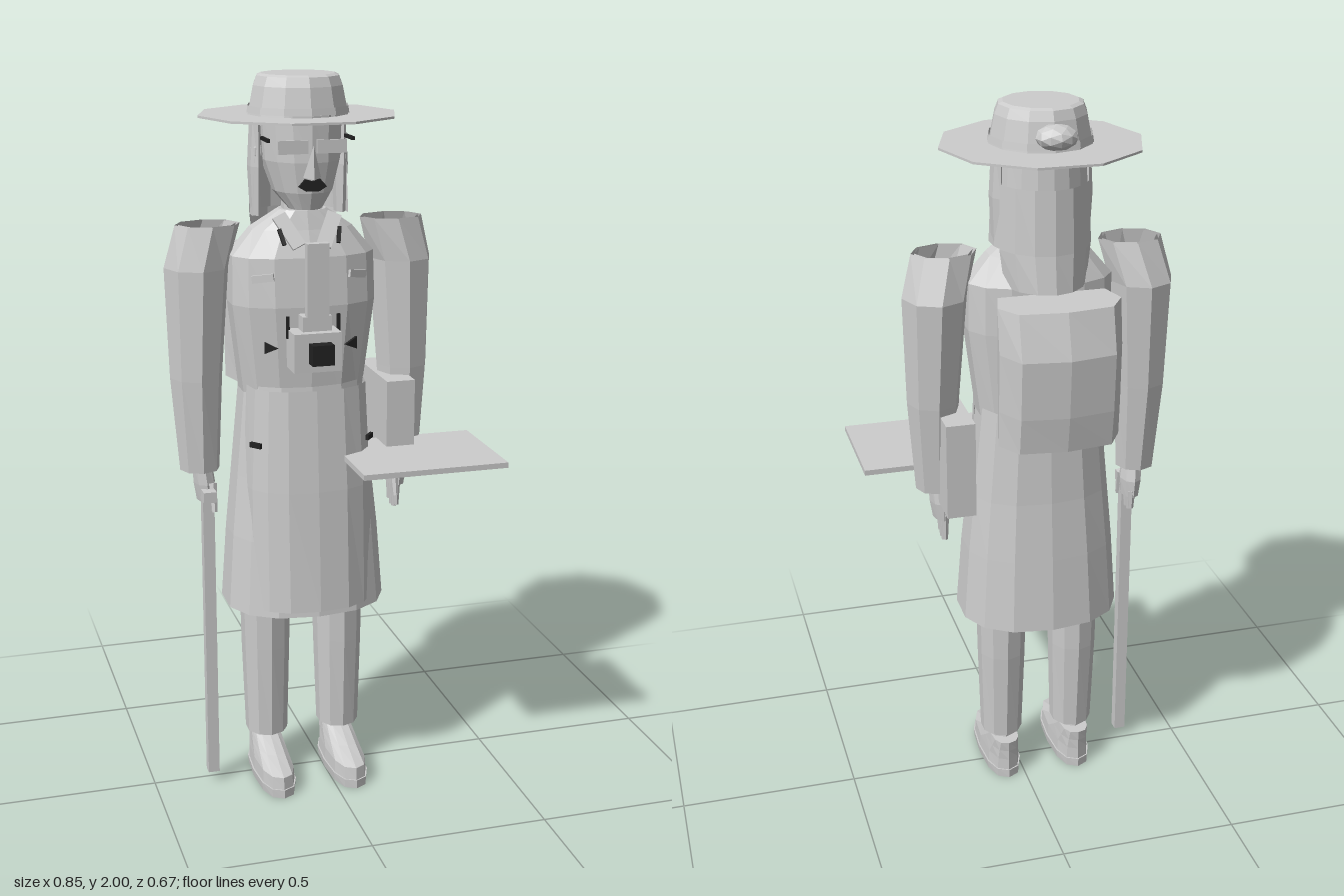
import * as THREE from 'three';

export function createModel() {
  const model = new THREE.Group();
  const grey = new THREE.MeshStandardMaterial({ color: 0xcccccc, flatShading: true, side: THREE.DoubleSide });
  grey.name = 'light grey';
  const black = new THREE.MeshStandardMaterial({ color: 0x222222, flatShading: true, side: THREE.DoubleSide });
  black.name = 'black';
  const CX = -0.055; // middle of the body

  function add(name, geo, mat = grey, x = 0, y = 0, z = 0, parent = model) {
    const m = new THREE.Mesh(geo, mat);
    m.name = name;
    m.position.set(x, y, z);
    parent.add(m);
    return m;
  }

  // Box given by its limits
  const box = (name, x0, x1, y0, y1, z0, z1, mat = grey, parent = model) =>
    add(name, new THREE.BoxGeometry(x1 - x0, y1 - y0, z1 - z0), mat,
      (x0 + x1) / 2, (y0 + y1) / 2, (z0 + z1) / 2, parent);

  // Skin over elliptical rings [y, rx, rz, cz, cx], bottom to top; angle 0 faces the front
  function loft(rings, n = 12, { from = 0, arc = Math.PI * 2, caps = true, power = 1 } = {}) {
    const pos = [], idx = [];
    const soft = (v) => Math.sign(v) * Math.abs(v) ** power;
    for (const [y, rx, rz, cz = 0, cx = 0] of rings) {
      for (let j = 0; j <= n; j++) {
        const t = from + (arc * j) / n;
        pos.push(cx + rx * soft(Math.sin(t)), y, cz + rz * soft(Math.cos(t)));
      }
    }
    const w = n + 1;
    for (let i = 0; i < rings.length - 1; i++) {
      for (let j = 0; j < n; j++) {
        const a = i * w + j;
        idx.push(a, a + 1, a + w, a + 1, a + w + 1, a + w);
      }
    }
    if (caps) {
      const top = (rings.length - 1) * w;
      for (let j = 1; j < n - 1; j++) idx.push(0, j + 1, j, top, top + j, top + j + 1);
    }
    const g = new THREE.BufferGeometry();
    g.setAttribute('position', new THREE.Float32BufferAttribute(pos, 3));
    g.setIndex(idx);
    const flat = g.toNonIndexed();
    flat.computeVertexNormals();
    return flat;
  }

  // Hat
  add('hatCrown', loft([[1.895, 0.137, 0.137], [1.97, 0.122, 0.122], [1.995, 0.112, 0.112], [2, 0.1, 0.1]], 12), grey, CX, 0, -0.035);
  add('hatBrim', new THREE.CylinderGeometry(0.27, 0.27, 0.006, 10).rotateY(Math.PI / 10), grey, CX, 1.892, -0.04);
  add('hatBand', loft([[1.9, 0.14, 0.14], [1.918, 0.137, 0.137]], 12, { caps: false }), grey, CX, 0, -0.035);
  const knot = add('hatKnot', new THREE.IcosahedronGeometry(0.055, 1), grey, CX, 1.937, -0.18);
  knot.scale.set(1, 0.6, 0.9);

  // Head, neck and hair
  add('head', loft([[1.655, 0.045, 0.05, 0.035], [1.7, 0.08, 0.095, 0.005], [1.78, 0.105, 0.125, -0.015],
    [1.9, 0.112, 0.128, -0.022]], 14), grey, CX);
  add('neck', loft([[1.6, 0.06, 0.055], [1.7, 0.052, 0.05]], 10), grey, CX);
  add('hair', loft([[1.63, 0.133, 0.15], [1.75, 0.128, 0.142], [1.9, 0.118, 0.135]], 10,
    { from: Math.PI * 0.46, arc: Math.PI * 1.08, caps: false }), grey, CX, 0, -0.025);
  add('hairTail', loft([[1.53, 0.12, 0.165], [1.63, 0.133, 0.152], [1.8, 0.13, 0.145]], 6,
    { from: Math.PI * 0.62, arc: Math.PI * 0.76, caps: false }), grey, CX, 0, -0.03);
  const nose = add('nose', new THREE.ConeGeometry(0.024, 0.085, 4), grey, CX, 1.785, 0.112);
  nose.rotation.set(0.2, 0, 0);
  for (const s of [-1, 1]) {
    add('sideHair', loft([[1.63, 0.014, 0.03], [1.76, 0.02, 0.04], [1.88, 0.012, 0.04]], 6), grey, CX + s * 0.117, 0, -0.04);
    add('ear', new THREE.SphereGeometry(0.03, 6, 5), grey, CX + s * 0.115, 1.8, -0.025).scale.set(0.6, 1.1, 0.7);
    box('spectacleLens', CX + s * 0.052 - 0.04, CX + s * 0.052 + 0.04, 1.805, 1.84, 0.105, 0.111);
    box('spectacleArm', CX + s * 0.114 - 0.004, CX + s * 0.114 + 0.004, 1.835, 1.844, 0.025, 0.095, black);
  }

  // Moustache with drooping ends
  const mouth = new THREE.Shape();
  mouth.moveTo(-0.038, 0);
  mouth.lineTo(-0.02, 0.02);
  mouth.lineTo(0, 0.014);
  mouth.lineTo(0.02, 0.02);
  mouth.lineTo(0.038, 0);
  mouth.lineTo(0.018, -0.012);
  mouth.lineTo(-0.018, -0.012);
  add('moustache', new THREE.ExtrudeGeometry(mouth, { depth: 0.009, bevelEnabled: false }), black, CX, 1.72, 0.104);

  // Coat body and skirt
  add('torso', loft([[1.15, 0.172, 0.115, -0.02], [1.4, 0.203, 0.122, -0.012], [1.53, 0.2, 0.112, -0.015],
    [1.6, 0.14, 0.085, -0.015], [1.65, 0.065, 0.055, 0]], 14, { power: 0.85 }), grey, CX);
  add('skirt', loft([[0.54, 0.228, 0.187, -0.012], [0.75, 0.213, 0.168, -0.015], [0.92, 0.196, 0.148, -0.02],
    [1.18, 0.17, 0.13, -0.025]], 14, { caps: false, power: 0.85 }), grey, CX);
  add('apron', loft([[0.56, 0.18, 0.16, 0.03], [0.9, 0.178, 0.14, 0.03], [1.18, 0.165, 0.12, 0.03]], 8,
    { from: -Math.PI / 2, arc: Math.PI, caps: false, power: 0.8 }), grey, CX);

  // Collar, pockets, buttons and tabs
  const tri = new THREE.Shape();
  tri.moveTo(-0.02, 0);
  tri.lineTo(0.018, 0.018);
  tri.lineTo(0.018, -0.016);
  for (const s of [-1, 1]) {
    const lapel = box('collar', CX + s * 0.055 - 0.02, CX + s * 0.055 + 0.02, 1.55, 1.65, 0.07, 0.078);
    lapel.rotation.set(-0.55, 0, -s * 0.45);
    const stud = box('collarStud', CX + s * 0.078 - 0.005, CX + s * 0.078 + 0.005, 1.565, 1.61, 0.084, 0.092, black);
    stud.rotation.set(-0.5, 0, -s * 0.2);
    const flap = box('pocketFlap', CX + s * 0.13 - 0.03, CX + s * 0.13 + 0.03, 1.47, 1.49, 0.082, 0.09);
    flap.rotation.set(0, s * 0.5, -s * 0.15);
    const tab = add('strapEnd', new THREE.ExtrudeGeometry(tri, { depth: 0.008, bevelEnabled: false }), black, CX + s * 0.11, 1.29, 0.088);
    tab.rotation.y = s > 0 ? 0.35 : Math.PI - 0.35;
    box('cameraStrap', CX + s * 0.07 - 0.004, CX + s * 0.07 + 0.004, 1.32, 1.38, 0.11, 0.118, black);
    const tag = box('apronTab', CX + s * 0.16 - 0.018, CX + s * 0.16 + 0.018, 1.023, 1.037, 0.105, 0.114, black);
    tag.rotation.y = s * 0.9;
  }

  // Camera hanging on the chest
  box('cameraBody', -0.125, 0.005, 1.24, 1.345, 0.1, 0.18);
  box('cameraLens', -0.085, -0.025, 1.265, 1.32, 0.18, 0.215, black);
  box('cameraTop', -0.095, -0.015, 1.345, 1.385, 0.11, 0.155);
  box('cameraPlate', -0.085, -0.025, 1.385, 1.58, 0.14, 0.165);

  // Arms: open sleeves, hands with fingers
  for (const s of [-1, 1]) {
    const arm = new THREE.Group();
    arm.name = s > 0 ? 'leftArm' : 'rightArm';
    arm.position.x = CX;
    model.add(arm);
    add('sleeve', loft([[0.94, 0.055, 0.055, -0.012, s * 0.29], [1.2, 0.072, 0.078, -0.02, s * 0.293],
      [1.5, 0.088, 0.096, -0.028, s * 0.285], [1.615, 0.088, 0.07, -0.015, s * 0.255]], 8, { caps: false }), grey, 0, 0, 0, arm);
    add('sleeveLining', loft([[0.95, 0.045, 0.045, -0.012, s * 0.29], [1.5, 0.075, 0.083, -0.028, s * 0.285],
      [1.615, 0.078, 0.06, -0.015, s * 0.255]], 8, { caps: false }), grey, 0, 0, 0, arm);
    add('palm', loft([[0.85, 0.024, 0.042, -0.015, s * 0.276], [0.9, 0.03, 0.045, -0.015, s * 0.278],
      [0.97, 0.027, 0.032, -0.012, s * 0.285]], 8), grey, 0, 0, 0, arm);
    for (let i = 0; i < 4; i++) {
      const tip = (s > 0 ? 0.775 : 0.8) + Math.abs(i - 1.5) * 0.01;
      add('finger', loft([[tip, 0.007, 0.007], [0.87, 0.012, 0.01]], 6), grey, s * 0.272, 0, -0.047 + i * 0.021, arm);
    }
    const thumb = add('thumb', loft([[-0.04, 0.008, 0.008], [0.04, 0.013, 0.012]], 6), grey, s * 0.262, 0.865, 0.03, arm);
    thumb.rotation.x = -0.25;
  }

  // Trousers and shoes
  for (const s of [-1, 1]) {
    const x = CX + s * 0.107;
    add('trouserLeg', loft([[0.13, 0.06, 0.067, -0.018], [0.4, 0.068, 0.08, -0.022], [0.7, 0.073, 0.087, -0.022]], 10), grey, x);
    add('ankle', loft([[0.08, 0.042, 0.05, -0.03], [0.15, 0.042, 0.05, -0.025]], 8), grey, x);
    add('sole', loft([[0, 0.053, 0.152, 0.038], [0.025, 0.056, 0.152, 0.038]], 12, { power: 0.8 }), grey, x);
    add('shoe', loft([[0.025, 0.052, 0.148, 0.038], [0.06, 0.05, 0.146, 0.036], [0.09, 0.045, 0.105, -0.005],
      [0.12, 0.04, 0.07, -0.042]], 12, { power: 0.8 }), grey, x);
  }

  // Walking stick in the right hand
  box('caneShaft', -0.348, -0.316, 0.03, 0.88, 0.005, 0.035);
  box('caneHandle', -0.35, -0.314, 0.86, 0.89, -0.02, 0.06);

  // Tray and upright case at the left hand
  box('tray', 0.02, 0.425, 0.98, 0.995, 0.02, 0.335);
  box('case', 0.155, 0.235, 0.91, 1.18, -0.16, 0.11);

  // Backpack: flat against the back, bulging outward
  const plan = [[-0.145, 0], [-0.165, 0.5], [-0.125, 0.9], [0, 1], [0.125, 0.9], [0.165, 0.5], [0.145, 0]];
  const shape = new THREE.Shape(plan.map(([x, d]) => new THREE.Vector2(x, d)));
  const pack = new THREE.ExtrudeGeometry(shape, { depth: 1, steps: 3, bevelEnabled: false });
  const p = pack.attributes.position;
  const levels = [[1.14, 0.165], [1.24, 0.18], [1.4, 0.19], [1.52, 0.155]]; // height, depth
  for (let i = 0; i < p.count; i++) {
    const [y, depth] = levels[Math.round(p.getZ(i) * 3)];
    p.setXYZ(i, p.getX(i), y, -0.145 - p.getY(i) * depth);
  }
  pack.computeVertexNormals();
  add('backpack', pack, grey, CX);

  return model;
}
